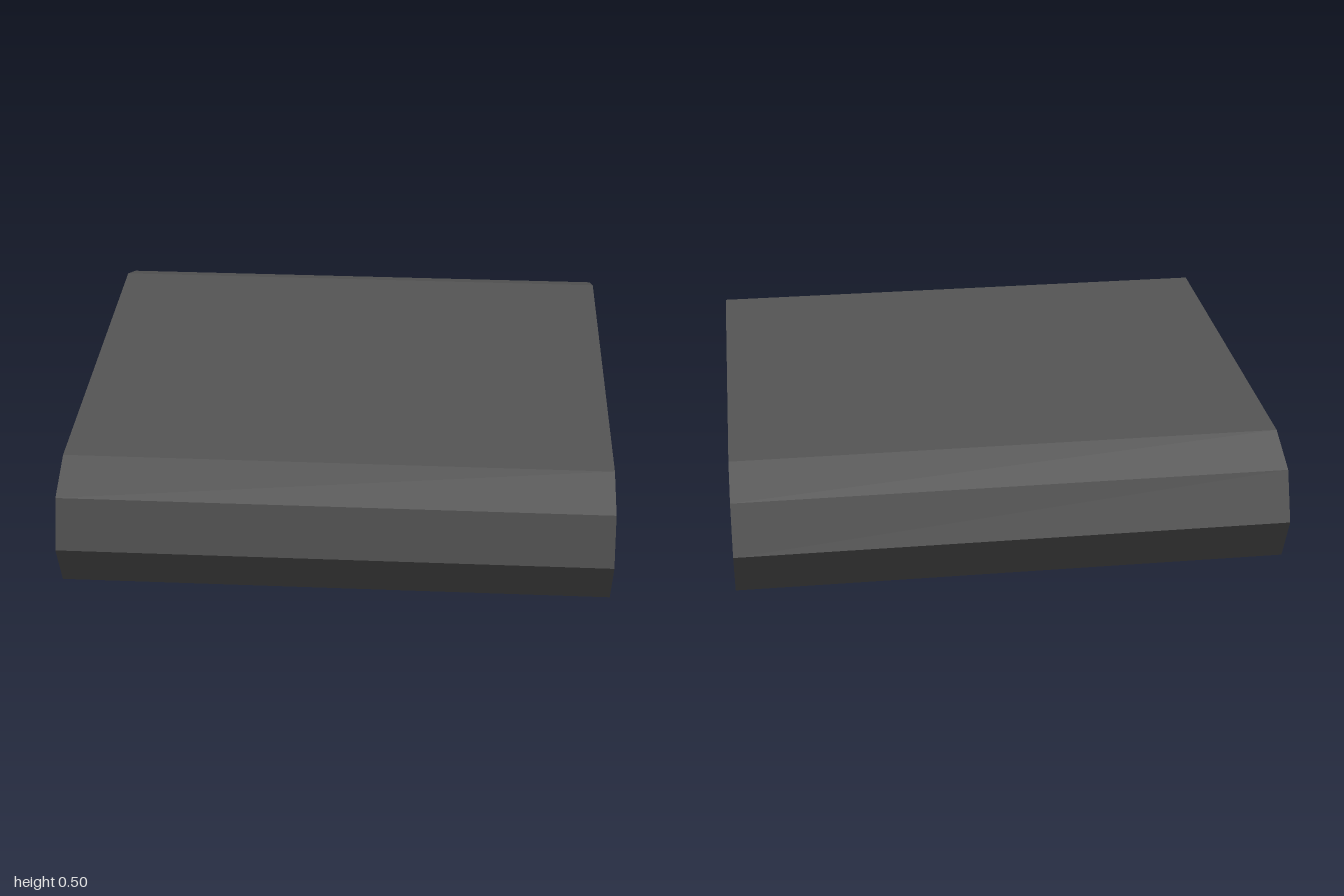
import * as THREE from 'three';

const STRAIGHT = 0.75; // half length of the flat run between the rounded ends
const MID = 0.25;      // height of the roller axis

// Stadium outline with four facets at each end, drawn in the side plane
function outline(radius, Type) {
  const points = [];
  for (const side of [1, -1]) {
    for (let i = 0; i <= 4; i++) {
      const a = (side > 0 ? -Math.PI / 2 : Math.PI / 2) + i * Math.PI / 4;
      points.push(new THREE.Vector2(side * STRAIGHT + radius * Math.cos(a), MID + radius * Math.sin(a)));
    }
  }
  return new Type(points);
}

// Extrude a side profile across the width, centred on x = 0
function acrossWidth(shape, width) {
  const geometry = new THREE.ExtrudeGeometry(shape, { depth: width, bevelEnabled: false });
  geometry.translate(0, 0, -width / 2);
  geometry.rotateY(Math.PI / 2);
  return geometry;
}

export function createModel() {
  const group = new THREE.Group();
  const darkGrey = new THREE.MeshStandardMaterial({ color: 0x565656 });
  darkGrey.name = 'darkGrey';
  darkGrey.flatShading = true;

  const add = (geometry, name) => {
    const mesh = new THREE.Mesh(geometry, darkGrey);
    mesh.name = name;
    group.add(mesh);
    return mesh;
  };

  // Belt loop, open at both sides
  const beltShape = outline(0.25, THREE.Shape);
  beltShape.holes.push(outline(0.19, THREE.Path));
  add(acrossWidth(beltShape, 2), 'belt');

  // Recessed side panels, made as one solid core
  add(acrossWidth(outline(0.19, THREE.Shape), 1.76), 'core');

  // Octagonal roller ends standing out from the recessed panels
  for (const x of [-1, 1]) {
    for (const [z, name] of [[0.76, 'frontRoller'], [-0.743, 'backRoller']]) {
      const geometry = new THREE.CylinderGeometry(0.147, 0.147, 0.09, 8);
      geometry.rotateZ(Math.PI / 2);
      const roller = add(geometry, (x > 0 ? 'left' : 'right') + name[0].toUpperCase() + name.slice(1));
      roller.position.set(x * 0.91, MID, z);
    }
  }

  return group;
}
